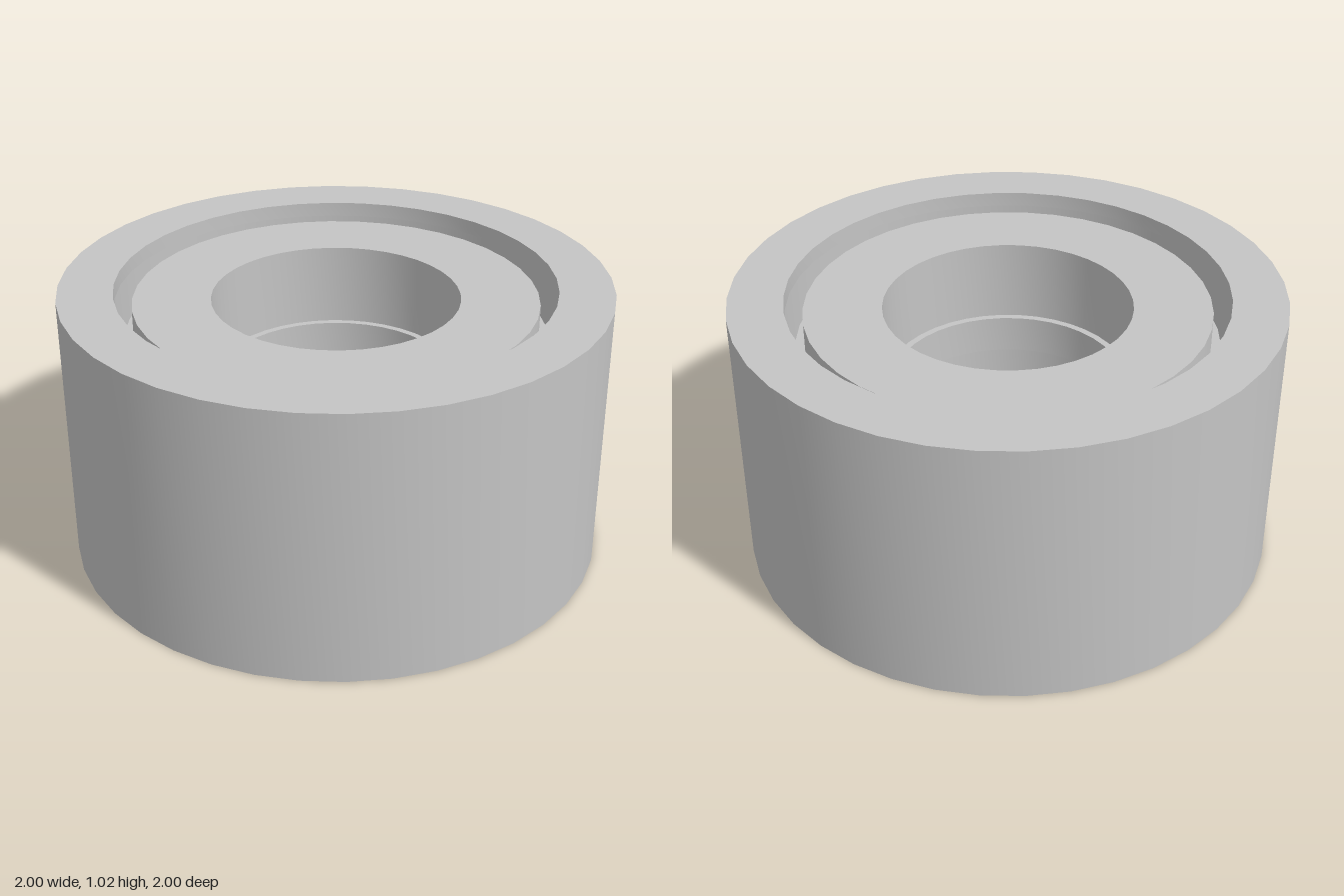
import * as THREE from 'three';
import { toCreasedNormals } from 'three/addons/utils/BufferGeometryUtils.js';

const SEGMENTS = 40;
const steel = new THREE.MeshStandardMaterial({ color: 0xc4c4c4 });
steel.name = 'grey';

// Revolves a closed cross-section of [radius, height] points, listed counterclockwise
function ring(name, section) {
  const points = [...section, section[0]].map(([r, y]) => new THREE.Vector2(r, y));
  const geometry = toCreasedNormals(new THREE.LatheGeometry(points, SEGMENTS), 0.5);
  const mesh = new THREE.Mesh(geometry, steel);
  mesh.name = name;
  return mesh;
}

export function createModel() {
  const group = new THREE.Group();
  group.name = 'wheelAssembly';

  // Outer shell, open below, with a narrow retaining lip at the top
  group.add(ring('outerShell', [
    [0.86, 0], [1, 0], [1, 1.02], [0.8, 1.02], [0.8, 0.965], [0.86, 0.965],
  ]));

  // Inner core with a stepped top and a raised band inside its bore
  group.add(ring('innerCore', [
    [0.453, 0.17], [0.773, 0.17], [0.773, 0.83], [0.737, 0.83], [0.737, 0.965],
    [0.453, 0.965], [0.453, 0.655], [0.427, 0.655], [0.427, 0.51], [0.453, 0.51],
  ]));

  // Small loose washer at the base
  group.add(ring('centreWasher', [
    [0.09, 0], [0.168, 0], [0.168, 0.04], [0.09, 0.04],
  ]));

  return group;
}
